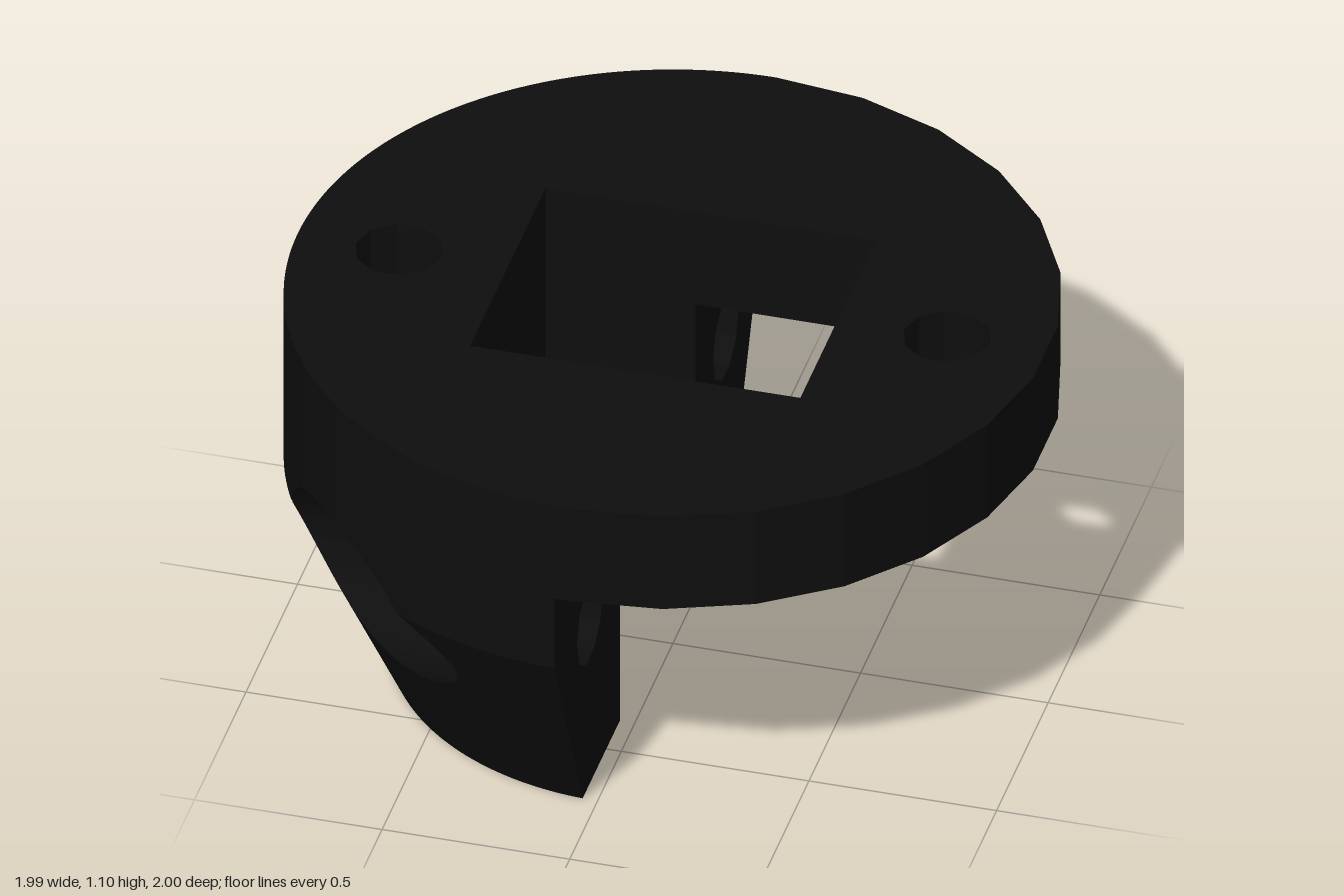
import * as THREE from 'three';

const TOP = 1.1, UNDER = 0.81, BEND = 0.59;      // disc top, disc underside, start of taper
const R0 = 0.73, CUT = -0.04;                    // bottom radius, plane of the half-body cut
const HX = 0.44, HZ = 0.365;                     // half size of the rectangular opening
const BX = 0.73, BR = 0.115, BBIG = 0.21, BCEIL = 0.91;                 // vertical bolt holes
const SZ = 0.66, SY = 0.515, SR = 0.125, SBIG = 0.22, SFLOOR = -0.24;   // side bolt holes

const radiusAt = y => Math.min(1, R0 + (1 - R0) * y / BEND);
const heightAt = r => THREE.MathUtils.clamp((r - R0) / (1 - R0) * BEND, 0, BEND);

// outer surface point; a is the angle from -x
const outer = (a, y) => {
  const r = radiusAt(y);
  return [Math.min(CUT, -r * Math.cos(a)), y, r * Math.sin(a)];
};

const circle = (cx, cy, r, n) => Array.from({ length: n + 1 }, (_, i) => {
  const t = i / n * Math.PI * 2;
  return [cx + r * Math.cos(t), cy + r * Math.sin(t)];
});

// strip of quads between two rows of points
function strip(a, b) {
  const pos = [];
  for (let i = 0; i < a.length - 1; i++) {
    pos.push(...a[i], ...b[i], ...b[i + 1], ...a[i], ...b[i + 1], ...a[i + 1]);
  }
  const g = new THREE.BufferGeometry();
  g.setAttribute('position', new THREE.Float32BufferAttribute(pos, 3));
  g.computeVertexNormals();
  return g;
}

// flat face with holes, placed by a mapping from 2D to 3D
function face(outline, holes, map) {
  const v = p => new THREE.Vector2(p[0], p[1]);
  const s = new THREE.Shape(outline.map(v));
  holes.forEach(h => s.holes.push(new THREE.Path(h.slice(0, -1).map(v))));
  const g = new THREE.ShapeGeometry(s);
  const p = g.attributes.position;
  for (let i = 0; i < p.count; i++) p.setXYZ(i, ...map(p.getX(i), p.getY(i)));
  g.computeVertexNormals();
  return g;
}

export function createModel() {
  const model = new THREE.Group();
  const black = new THREE.MeshStandardMaterial({ color: 0x0e0e0e, side: THREE.DoubleSide, flatShading: true });
  black.name = 'black';
  const add = (name, g) => {
    const m = new THREE.Mesh(g, black);
    m.name = name;
    model.add(m);
  };
  const level = y => (x, z) => [x, y, z];

  // angular columns of the half body
  const A = Math.acos(-CUT), N = 160;
  const cols = Array.from({ length: N + 1 }, (_, i) => -A + 2 * A * i / N);

  // bottom edge of the outer skin, raised where the vertical bore breaks through
  const notch = a => {
    const d = BBIG ** 2 - (BX * Math.sin(a)) ** 2;
    return d > 0 && Math.cos(a) > 0 ? heightAt(BX * Math.cos(a) + Math.sqrt(d)) : 0;
  };
  // heights where a column enters and leaves a side counterbore
  const sideGap = a => {
    let lo = SY, hi = SY, found = false;
    for (let y = SY - SBIG; y <= SY + SBIG; y += 0.001) {
      const dz = radiusAt(y) * Math.abs(Math.sin(a)) - SZ;
      if (dz * dz + (y - SY) ** 2 < SBIG ** 2) {
        if (!found) lo = y;
        hi = y;
        found = true;
      }
    }
    return [lo, hi];
  };
  const gaps = cols.map(sideGap);
  const row = f => cols.map((a, i) => outer(a, f(a, i)));
  const mid = row((a, i) => Math.max(BEND, gaps[i][1]));
  add('taperedSkinLower', strip(row(notch), row((a, i) => gaps[i][0])));
  add('taperedSkinUpper', strip(row((a, i) => gaps[i][1]), mid));
  add('bodySkin', strip(mid, row(() => TOP)));

  // disc rim on the open side
  const rim = [[CUT, -Math.sin(A)]];
  for (let k = 0; k <= 13; k++) rim.push([Math.sin(k * Math.PI / 13), -Math.cos(k * Math.PI / 13)]);
  rim.push([CUT, Math.sin(A)]);
  const lift = (pts, y) => pts.map(([x, z]) => [x, y, z]);
  add('discRim', strip(lift(rim, UNDER), lift(rim, TOP)));

  // disc top and underside
  const leftArc = cols.map(a => [-Math.cos(a), Math.sin(a)]).reverse();
  const rect = [[-HX, -HZ], [HX, -HZ], [HX, HZ], [-HX, HZ], [-HX, -HZ]];
  add('discTop', face([...rim, ...leftArc.slice(1, -1)],
    [rect, circle(BX, 0, BR, 10), circle(-BX, 0, BR, 10)], level(TOP)));
  add('discUnderside', face([...rim, [CUT, HZ], [HX, HZ], [HX, -HZ], [CUT, -HZ]],
    [circle(BX, 0, BBIG, 24)], level(UNDER)));

  // bottom of the half body, with the bore bitten out of its edge
  const a0 = 2 * Math.asin(BBIG / (2 * R0));
  const bottom = cols.map(a => {
    if (Math.abs(a) >= a0) {
      const p = outer(a, 0);
      return [p[0], p[2]];
    }
    const r = BX * Math.cos(a) - Math.sqrt(Math.max(0, BBIG ** 2 - (BX * Math.sin(a)) ** 2));
    return [-r * Math.cos(a), r * Math.sin(a)];
  });
  add('bodyBottom', face([...bottom, [CUT, HZ], [-HX, HZ], [-HX, -HZ], [CUT, -HZ]], [], level(0)));

  // walls of the rectangular opening
  const wallX = (x, y0) => strip([[x, y0, -HZ], [x, y0, HZ]], [[x, TOP, -HZ], [x, TOP, HZ]]);
  add('openingWallRight', wallX(-HX, 0));
  add('openingWallLeft', wallX(HX, UNDER));
  const sideWall = [[-HX, 0], [CUT, 0], [CUT, UNDER], [HX, UNDER], [HX, TOP], [-HX, TOP]];

  for (const s of [-1, 1]) {
    add('openingSideWall', face(sideWall, [], (x, y) => [x, y, s * HZ]));

    // cut face with a bolt hole
    const small = circle(SZ, SY, SR, 10), big = circle(SZ, SY, SBIG, 40);
    add('cutFace', face([[HZ, 0], [R0, 0], [1, BEND], [1, UNDER], [HZ, UNDER]], [small],
      (z, y) => [CUT, y, s * z]));

    // stepped side bolt hole
    const at = (pts, fx) => pts.map(([z, y]) => [fx(z, y), y, s * z]);
    add('sideHole', strip(at(small, () => CUT), at(small, () => SFLOOR)));
    add('sideCounterboreFloor', face(big.slice(0, -1), [small], (z, y) => [SFLOOR, y, s * z]));
    add('sideCounterbore', strip(at(big, () => SFLOOR),
      at(big, (z, y) => -Math.sqrt(Math.max(0, radiusAt(y) ** 2 - z * z)))));

    // stepped vertical bolt hole
    const hole = circle(s * BX, 0, BR, 10), bore = circle(s * BX, 0, BBIG, s < 0 ? 40 : 24);
    add('boltHole', strip(lift(hole, TOP), lift(hole, BCEIL)));
    add('boltCounterboreCeiling', face(bore.slice(0, -1), [hole], level(BCEIL)));
    add('boltCounterbore', strip(lift(bore, BCEIL),
      bore.map(([x, z]) => [x, s > 0 ? UNDER : heightAt(Math.hypot(x, z)), z])));
  }
  return model;
}
